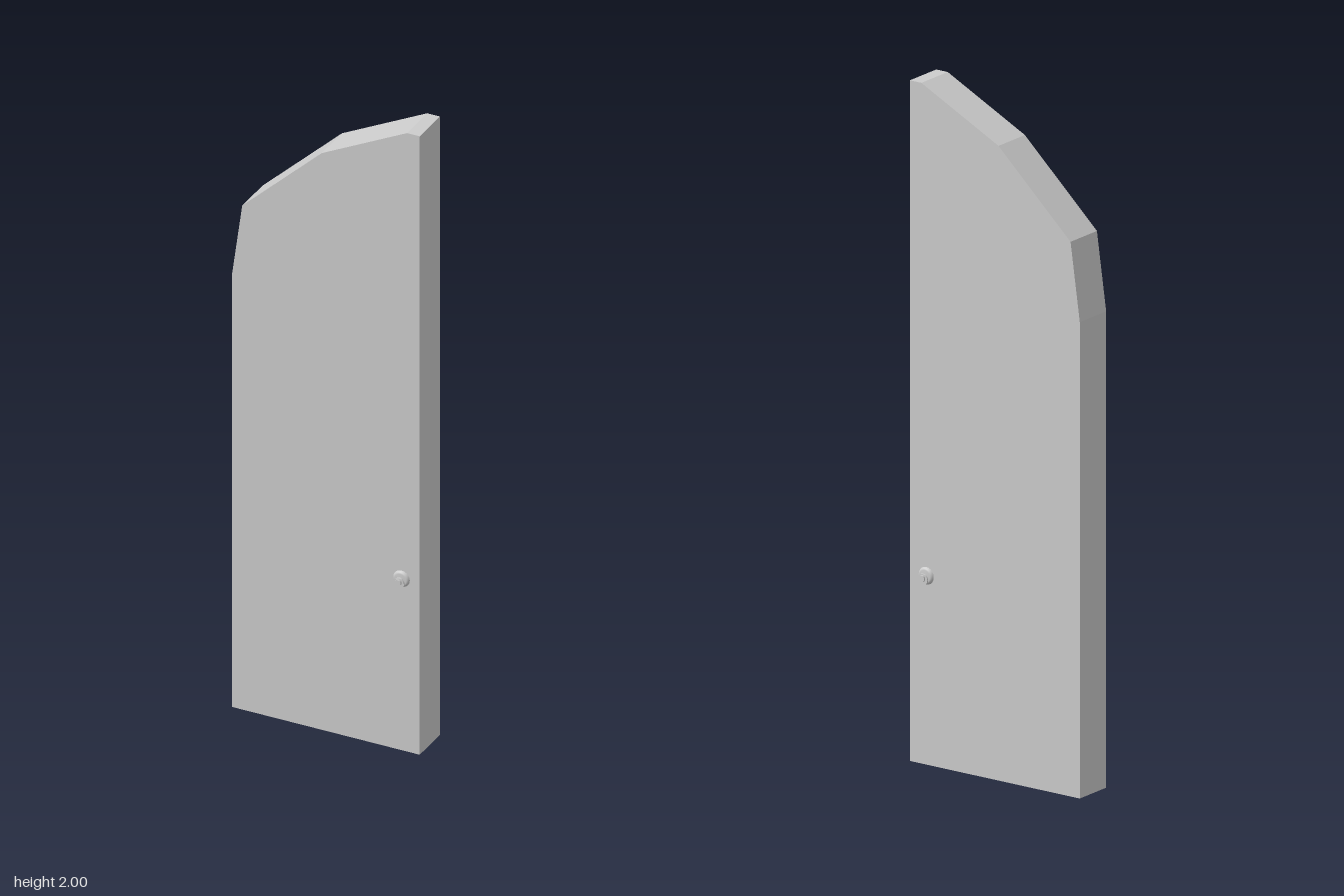
import * as THREE from 'three';

const HALF_W = 0.295, HALF_D = 0.0625;

// Door leaf: hollow slab with a stepped half arch on top and an open underside
function leafGeometry() {
  const outline = [
    [-HALF_W, 0], [HALF_W, 0], [HALF_W, 2], [0.255, 2],
    [-0.013, 1.865], [-0.263, 1.63], [-HALF_W, 1.4],
  ].map(([x, y]) => new THREE.Vector2(x, y));
  const solid = new THREE.ExtrudeGeometry(new THREE.Shape(outline), { depth: 2 * HALF_D, bevelEnabled: false });
  solid.translate(0, 0, -HALF_D);

  // Keep every triangle except those lying on the floor
  const p = solid.attributes.position;
  const kept = [];
  for (let i = 0; i < p.count; i += 3) {
    if (Math.max(p.getY(i), p.getY(i + 1), p.getY(i + 2)) < 1e-6) continue;
    for (let j = i; j < i + 3; j++) kept.push(p.getX(j), p.getY(j), p.getZ(j));
  }
  const shell = new THREE.BufferGeometry();
  shell.setAttribute('position', new THREE.Float32BufferAttribute(kept, 3));
  shell.computeVertexNormals();
  return shell;
}

// Handle pointing along +z, with its base at z = 0
function makeHandle(name, material) {
  const handle = new THREE.Group();
  handle.name = name;
  const add = (part, geometry, y, z) => {
    const mesh = new THREE.Mesh(geometry.rotateX(Math.PI / 2), material);
    mesh.name = part;
    mesh.position.set(0, y, z);
    handle.add(mesh);
  };
  // Domed plate against the door
  const dome = [[0.026, 0], [0.0245, 0.003], [0.022, 0.006], [0.018, 0.008], [0, 0.0085]];
  add('rosette', new THREE.LatheGeometry(dome.map(([r, h]) => new THREE.Vector2(r, h)), 20), 0, 0);
  // Short spindle carrying a thin round grip that hangs a little low
  add('spindle', new THREE.CylinderGeometry(0.01, 0.01, 0.02, 16), -0.003, 0.0145);
  add('grip', new THREE.CylinderGeometry(0.017, 0.017, 0.004, 16), -0.007, 0.0165);
  return handle;
}

export function createModel() {
  const group = new THREE.Group();
  group.name = 'door';
  const material = new THREE.MeshStandardMaterial({ color: 0xcccccc, side: THREE.DoubleSide });

  const leaf = new THREE.Mesh(leafGeometry(), material);
  leaf.name = 'doorLeaf';
  group.add(leaf);

  // One handle on each face
  for (const side of [1, -1]) {
    const handle = makeHandle(side > 0 ? 'frontHandle' : 'backHandle', material);
    handle.position.set(0.238, 0.555, side * HALF_D);
    if (side < 0) handle.rotation.y = Math.PI;
    group.add(handle);
  }
  return group;
}
